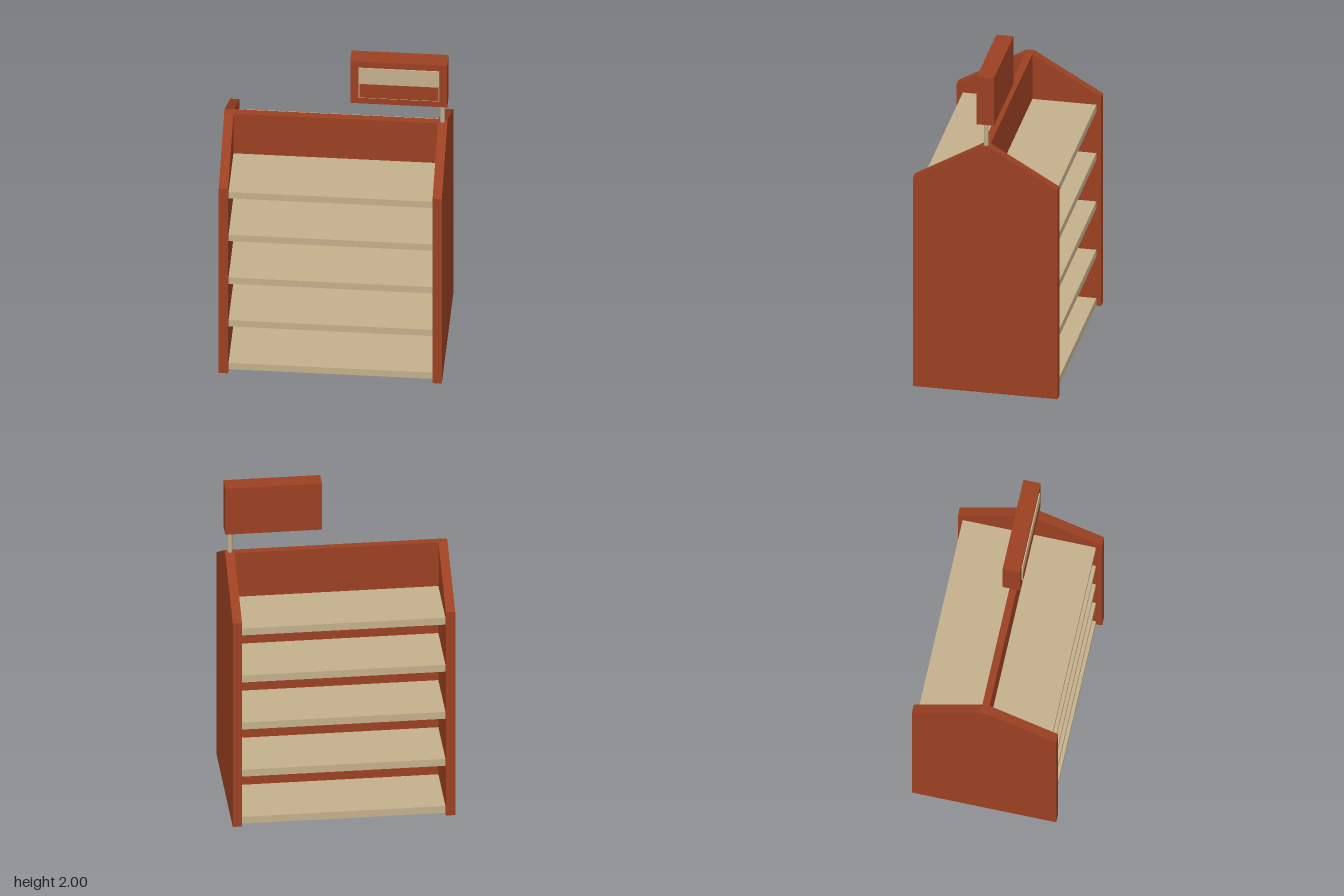
import * as THREE from 'three';

export function createModel() {
  const red = new THREE.MeshStandardMaterial({ color: 0x9c4122 });
  red.name = 'brick red';
  const cream = new THREE.MeshStandardMaterial({ color: 0xc3b08c });
  cream.name = 'cream';

  const model = new THREE.Group();
  model.name = 'shelfDisplay';

  const add = (name, geometry, material) => {
    const mesh = new THREE.Mesh(geometry, material);
    mesh.name = name;
    model.add(mesh);
    return mesh;
  };

  // Box given by its limits on each axis
  const box = (name, material, [x0, x1], [y0, y1], [z0, z1]) => {
    const mesh = add(name, new THREE.BoxGeometry(x1 - x0, y1 - y0, z1 - z0), material);
    mesh.position.set((x0 + x1) / 2, (y0 + y1) / 2, (z0 + z1) / 2);
    return mesh;
  };

  // Gabled side panels: outline drawn in z/y, extruded along x
  const outline = new THREE.Shape([
    [-0.42, 0], [0.42, 0], [0.42, 1.325], [0.02, 1.56], [-0.02, 1.56], [-0.42, 1.325],
  ].map(([z, y]) => new THREE.Vector2(z, y)));
  const thickness = 0.053;
  const panel = new THREE.ExtrudeGeometry(outline, { depth: thickness, bevelEnabled: false });
  panel.rotateY(Math.PI / 2);
  add('rightSidePanel', panel, red).position.x = -0.64;
  add('leftSidePanel', panel, red).position.x = 0.633 - thickness;

  // Central divider between the two shelf sides
  box('divider', red, [-0.588, 0.581], [0, 1.56], [-0.021, 0.021]);

  // Five shelves on each side of the divider
  for (let i = 0; i < 5; i++) {
    const y = 0.307 * i;
    box('frontShelf', cream, [-0.588, 0.581], [y + 0.002, y + 0.047], [0.021, 0.383]);
    box('backShelf', cream, [-0.588, 0.581], [y + 0.002, y + 0.047], [-0.392, -0.021]);
  }

  // Sign post
  add('signPost', new THREE.CylinderGeometry(0.014, 0.014, 0.2, 8), cream)
    .position.set(0.604, 1.62, 0);

  // Sign board with a two-tone plate on its front
  box('signBoard', red, [0.082, 0.635], [1.7, 2], [-0.05, 0.05]);
  box('signPlate', cream, [0.13, 0.59], [1.745, 1.957], [0.05, 0.057]);
  box('signPlateLowerField', red, [0.135, 0.585], [1.75, 1.845], [0.057, 0.06]);

  return model;
}
